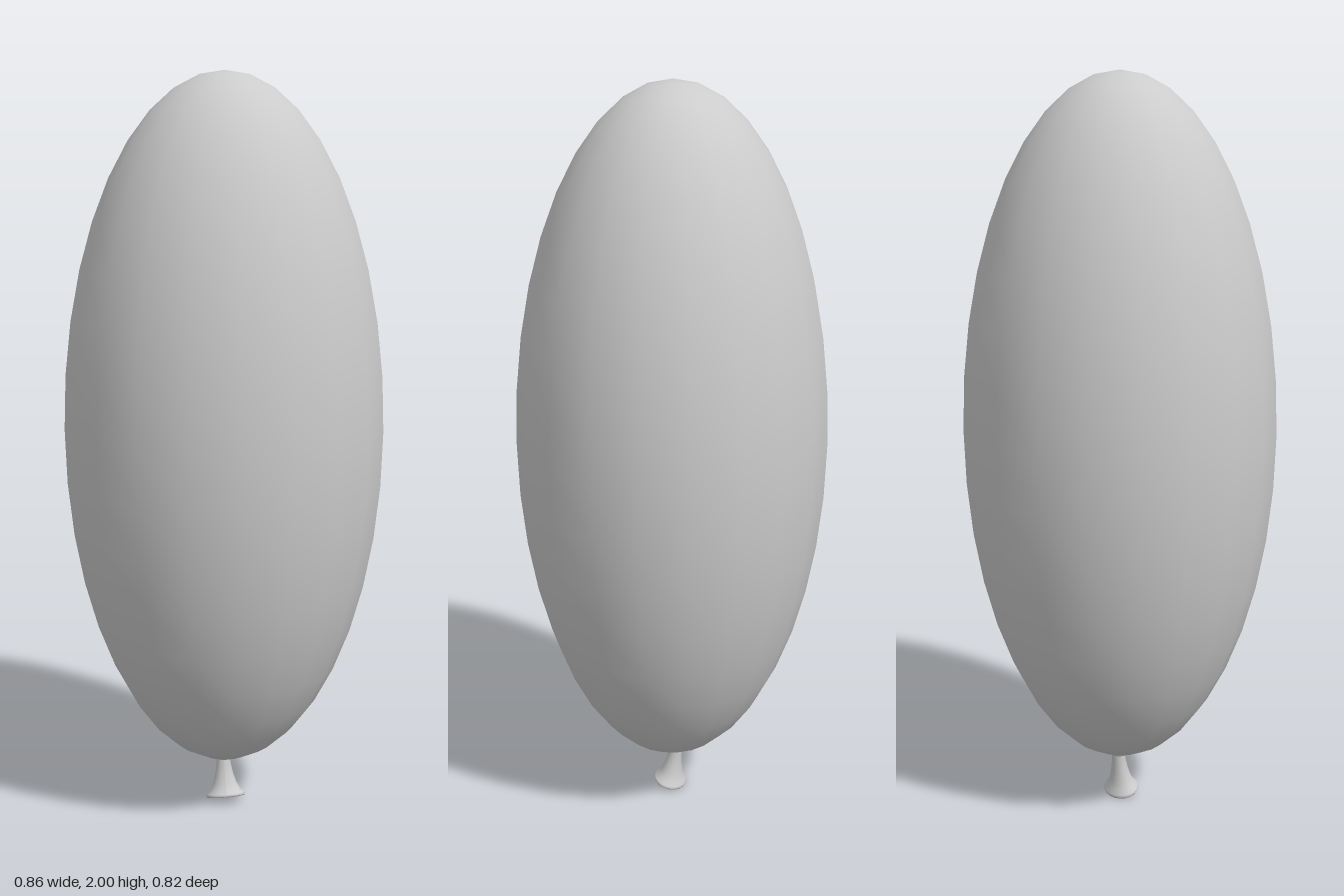
import * as THREE from 'three';

export function createModel() {
  const group = new THREE.Group();
  const mat = new THREE.MeshStandardMaterial({ color: 0xcccccc, side: THREE.DoubleSide });
  const add = (name, geo) => {
    const mesh = new THREE.Mesh(geo, mat);
    mesh.name = name;
    group.add(mesh);
    return mesh;
  };

  // Slightly flattened, elongated body
  const body = add('body', new THREE.SphereGeometry(1, 20, 20));
  body.scale.set(0.428, 0.932, 0.412);
  body.position.y = 1.068;

  // Small tied ring under the body
  const knot = add('knot', new THREE.TorusGeometry(0.021, 0.008, 8, 20));
  knot.rotation.x = Math.PI / 2;
  knot.position.set(-0.003, 0.135, -0.004);

  // Flared, hollow neck with a rolled lip
  const profile = [
    [0.012, 0.05], [0.028, 0.032], [0.046, 0.02], [0.053, 0.016], [0.055, 0.02],
    [0.053, 0.025], [0.042, 0.035], [0.033, 0.054], [0.025, 0.08], [0.02, 0.11], [0.018, 0.15],
  ].map(([r, y]) => new THREE.Vector2(r, y));
  const neckGeo = new THREE.LatheGeometry(profile, 20);
  // Lean the neck and tip its mouth toward the front
  const p = neckGeo.attributes.position;
  for (let i = 0; i < p.count; i++) {
    const x = p.getX(i), y = p.getY(i), z = p.getZ(i);
    const t = Math.max(0, 1 - y / 0.14);
    p.setXYZ(i, x - 0.004 + t * 0.007, y + t * (0.28 * z + 0.06 * x), z * (1 - 0.25 * t) - 0.01 + t * 0.02);
  }
  neckGeo.computeVertexNormals();
  add('neck', neckGeo);

  return group;
}
